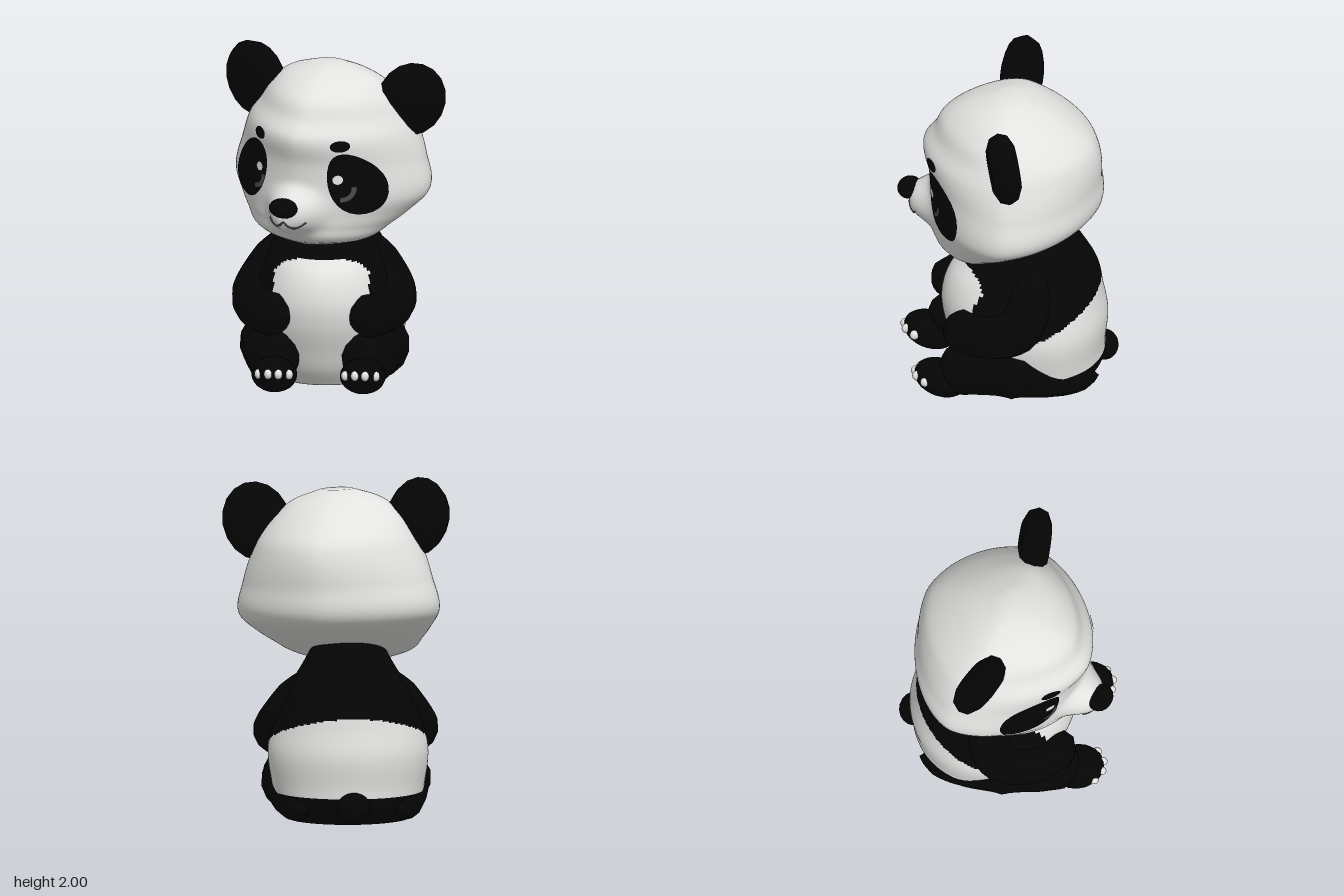
import * as THREE from 'three';

const mat = (name, color) => Object.assign(new THREE.MeshStandardMaterial({ color }), { name });
const pow = (v, e) => Math.sign(v) * Math.abs(v) ** e;

// Cross-section stack: rows of [y, half width, front z, back z]; power sets how pointed the outline is
function profile(power, rows) {
  const cubic = new THREE.CubicInterpolant(rows.map(r => r[0]), rows.flatMap(r => r.slice(1)), 3);
  return { power, y0: rows[0][0], y1: rows[rows.length - 1][0], at: y => Array.from(cubic.evaluate(y)) };
}
const middle = (f, b) => f * 0.45 + b * 0.55;

// Skin a profile; rule(x, y, z) picks the material group of each face, bump(x, y) pushes the front out
function loft(p, rows, cols, { rule = () => 0, bump = () => 0 }) {
  const pos = [], lists = [[], []], e = 2 / p.power;
  for (let i = 0; i <= rows; i++) {
    const y = THREE.MathUtils.lerp(p.y0, p.y1, i / rows);
    const [w, f, b] = p.at(y), zc = middle(f, b);
    for (let j = 0; j < cols; j++) {
      const t = j / cols * Math.PI * 2, s = Math.sin(t), x = w * pow(Math.cos(t), e);
      pos.push(x, y, zc + (s > 0 ? f - zc : zc - b) * pow(s, e) + (s > 0 ? bump(x, y) : 0));
    }
  }
  for (let i = 0; i < rows; i++) for (let j = 0; j < cols; j++) {
    const k = (j + 1) % cols, a = i * cols + j, b = i * cols + k, d = b + cols;
    const centre = [0, 1, 2].map(n => (pos[a * 3 + n] + pos[d * 3 + n]) / 2);
    lists[rule(...centre)].push(a, a + cols, b, b, a + cols, d);
  }
  for (const [row, y] of [[0, p.y0], [rows, p.y1]]) {
    const [, f, b] = p.at(y), c = pos.length / 3;
    pos.push(0, y, middle(f, b));
    for (let j = 0; j < cols; j++) {
      const a = row * cols + j, d = row * cols + (j + 1) % cols;
      lists[0].push(...(row ? [a, c, d] : [a, d, c]));
    }
  }
  const g = new THREE.BufferGeometry();
  g.setAttribute('position', new THREE.Float32BufferAttribute(pos, 3));
  g.setIndex([...lists[0], ...lists[1]]);
  g.addGroup(0, lists[0].length, 0);
  g.addGroup(lists[0].length, lists[1].length, 1);
  g.computeVertexNormals();
  return g;
}

// Tube with rounded ends whose radius follows a list of values; it never sinks below the ground
function limb(points, radii) {
  const curve = new THREE.CatmullRomCurve3(points.map(q => new THREE.Vector3(...q)));
  const seg = 28, sides = 14, g = new THREE.TubeGeometry(curve, seg, 1, sides);
  const { position, normal } = g.attributes, v = new THREE.Vector3();
  for (let i = 0; i < position.count; i++) {
    const u = Math.floor(i / (sides + 1)) / seg, k = u * (radii.length - 1);
    const n = Math.min(Math.floor(k), radii.length - 2);
    const round = Math.sqrt(Math.min(1, u * 9, Math.max(0, 1 - u) * 9));
    v.fromBufferAttribute(normal, i).multiplyScalar(THREE.MathUtils.lerp(radii[n], radii[n + 1], k - n) * round);
    v.add(curve.getPointAt(u));
    position.setXYZ(i, v.x, Math.max(v.y, 0.005), v.z);
  }
  g.computeVertexNormals();
  return g;
}

export function createModel() {
  const white = mat('white fur', 0xe2e2e0), black = mat('black fur', 0x050505);
  const grey = mat('grey line', 0x4c4b4a), shine = mat('eye shine', 0xf4f4f4);
  const model = new THREE.Group();
  model.name = 'panda';
  const add = (parent, name, geo, material) => {
    const m = new THREE.Mesh(geo, material);
    m.name = name;
    parent.add(m);
    return m;
  };
  const place = (m, p, s, r = [0, 0, 0]) => {
    m.position.set(...p);
    m.scale.set(...s);
    m.rotation.set(...r);
  };
  const ball = (parent, name, material, ...where) =>
    place(add(parent, name, new THREE.SphereGeometry(1, 18, 12), material), ...where);

  // Body, turned slightly to its left
  const body = new THREE.Group();
  body.name = 'body';
  body.position.set(-0.05, 0, -0.02);
  body.rotation.y = 0.25;
  model.add(body);

  const torso = profile(1.95, [
    [0, 0.36, 0.2, -0.5], [0.1, 0.42, 0.27, -0.56], [0.22, 0.45, 0.32, -0.57], [0.4, 0.47, 0.38, -0.585],
    [0.55, 0.44, 0.39, -0.56], [0.7, 0.38, 0.34, -0.53], [0.8, 0.33, 0.25, -0.48], [0.9, 0.27, 0.18, -0.42],
    [1.02, 0.2, 0.1, -0.34], [1.1, 0.13, 0.04, -0.27]]);
  const isBlack = (x, y, z) => {
    if (y < 0.16 && (z < -0.1 || Math.abs(x) > 0.25)) return 1;
    if (z > 0.1 && Math.abs(x) < 0.28) return y > 0.78 - 14 * x ** 4 ? 1 : 0;
    return y > 0.4 - 0.42 * Math.min(z, 0) ? 1 : 0;
  };
  add(body, 'torso', loft(torso, 110, 128, { rule: isBlack }), [white, black]);
  ball(body, 'tail', black, [0, 0.11, -0.56], [0.1, 0.09, 0.09]);

  for (const s of [1, -1]) {
    const side = s > 0 ? 'left' : 'right';
    add(body, side + 'Arm', limb(
      [[s * 0.14, 0.86, -0.14], [s * 0.29, 0.7, -0.1], [s * 0.4, 0.52, -0.01], [s * 0.38, 0.46, 0.17], [s * 0.2, 0.46, 0.4]],
      [0.08, 0.13, 0.14, 0.125, 0.13]), black);
    add(body, side + 'Leg', limb(
      [[s * 0.28, 0.08, -0.5], [s * 0.33, 0.11, -0.26], [s * 0.3, 0.2, 0], [s * 0.29, 0.21, 0.2], [s * 0.26, 0.13, 0.46]],
      [0.06, 0.11, 0.2, 0.175, 0.12]), black);
    ball(body, side + 'Foot', black, [s * 0.26, 0.125, 0.43], [0.135, 0.105, 0.165], [-0.4, 0, 0]);
    // Four claws across the toes
    for (let i = 0; i < 4; i++) {
      const u = (i - 1.5) / 1.5;
      ball(body, side + 'Claw', white, [s * 0.255 + u * 0.09, 0.165 - 0.012 * u * u, 0.58 - 0.045 * u * u], [0.024, 0.03, 0.028]);
    }
  }

  // Head, turned and tipped slightly the other way
  const tilt = new THREE.Group(), head = new THREE.Group();
  tilt.name = 'headTilt';
  head.name = 'head';
  tilt.position.set(-0.03, 1.35, 0);
  tilt.rotation.set(0, -0.12, -0.05);
  head.position.y = -1.35;
  tilt.add(head);
  model.add(tilt);

  const skull = profile(1.7, [
    [0.88, 0.15, 0.28, 0.06], [0.93, 0.33, 0.4, -0.08], [1.03, 0.46, 0.44, -0.3], [1.1, 0.53, 0.44, -0.43],
    [1.2, 0.605, 0.44, -0.56], [1.4, 0.57, 0.45, -0.58], [1.57, 0.51, 0.48, -0.57], [1.66, 0.46, 0.42, -0.53],
    [1.78, 0.37, 0.35, -0.39], [1.87, 0.25, 0.2, -0.23], [1.92, 0.1, 0.05, -0.1]]);
  // Muzzle swelling out of the face
  const muzzle = (x, y) => {
    const r2 = ((x - 0.01) / 0.155) ** 2 + ((y - 1.12) / 0.125) ** 2;
    return 0.135 * Math.exp(-r2 * r2);
  };
  add(head, 'skull', loft(skull, 64, 96, { bump: muzzle }), white);
  const faceZ = (x, y) => {
    const [w, f, b] = skull.at(y), zc = middle(f, b), q = skull.power;
    return zc + (f - zc) * Math.max(0, 1 - Math.abs(x / w) ** q) ** (1 / q) + muzzle(x, y);
  };

  // Thin marking wrapped onto the face
  const marking = (name, material, cx, cy, rx, ry, turn, lift, geo = new THREE.RingGeometry(0, 1, 28, 6), taper = 0) => {
    const p = geo.attributes.position, c = Math.cos(turn), n = Math.sin(turn);
    for (let i = 0; i < p.count; i++) {
      const v = p.getY(i) * ry, u = p.getX(i) * rx * (1 - taper * p.getY(i));
      const x = cx + u * c - v * n, y = cy + u * n + v * c;
      p.setXYZ(i, x, y, faceZ(x, y) + lift);
    }
    geo.computeVertexNormals();
    add(head, name, geo, material);
  };

  // Thick rounded disc for the ears
  const disc = new THREE.LatheGeometry([[0, -1], [0.6, -0.95], [0.9, -0.6], [1, 0], [0.9, 0.6], [0.6, 0.95], [0, 1]]
    .map(q => new THREE.Vector2(...q)), 18).rotateX(Math.PI / 2);

  for (const s of [1, -1]) {
    const side = s > 0 ? 'left' : 'right';
    marking(side + 'EyePatch', black, s * 0.335, 1.31, 0.134, 0.197, s * 0.45, 0.008, undefined, 0.15);
    marking(side + 'EyeCrescent', grey, s * 0.28, 1.28, 0.07, 0.08, 0, 0.012,
      new THREE.RingGeometry(0.65, 1, 16, 2, -1.7, 1.9));
    marking(side + 'EyeShine', shine, s * 0.255, 1.335, 0.027, 0.028, 0, 0.015);
    marking(side + 'Brow', black, s * 0.26, 1.54, 0.048, 0.034, 0, 0.009);
    place(add(head, side + 'Ear', disc, black),
      [s * 0.475, 1.745, -0.055 - s * 0.065], [0.2, 0.235, 0.088], [0.12, s * 0.3 + 0.1, -s * 0.3]);
  }

  // Nose and mouth
  ball(head, 'nose', black, [0.005, 1.17, 0.575], [0.087, 0.058, 0.072]);
  const lip = [];
  for (let i = 0; i <= 16; i++) {
    const u = -1 + i / 8, x = 0.01 + 0.115 * u, y = 1.085 - 0.035 * Math.abs(Math.sin(u * Math.PI));
    lip.push(new THREE.Vector3(x, y, faceZ(x, y)));
  }
  add(head, 'mouth', new THREE.TubeGeometry(new THREE.CatmullRomCurve3(lip), 40, 0.006, 6), grey);
  return model;
}
